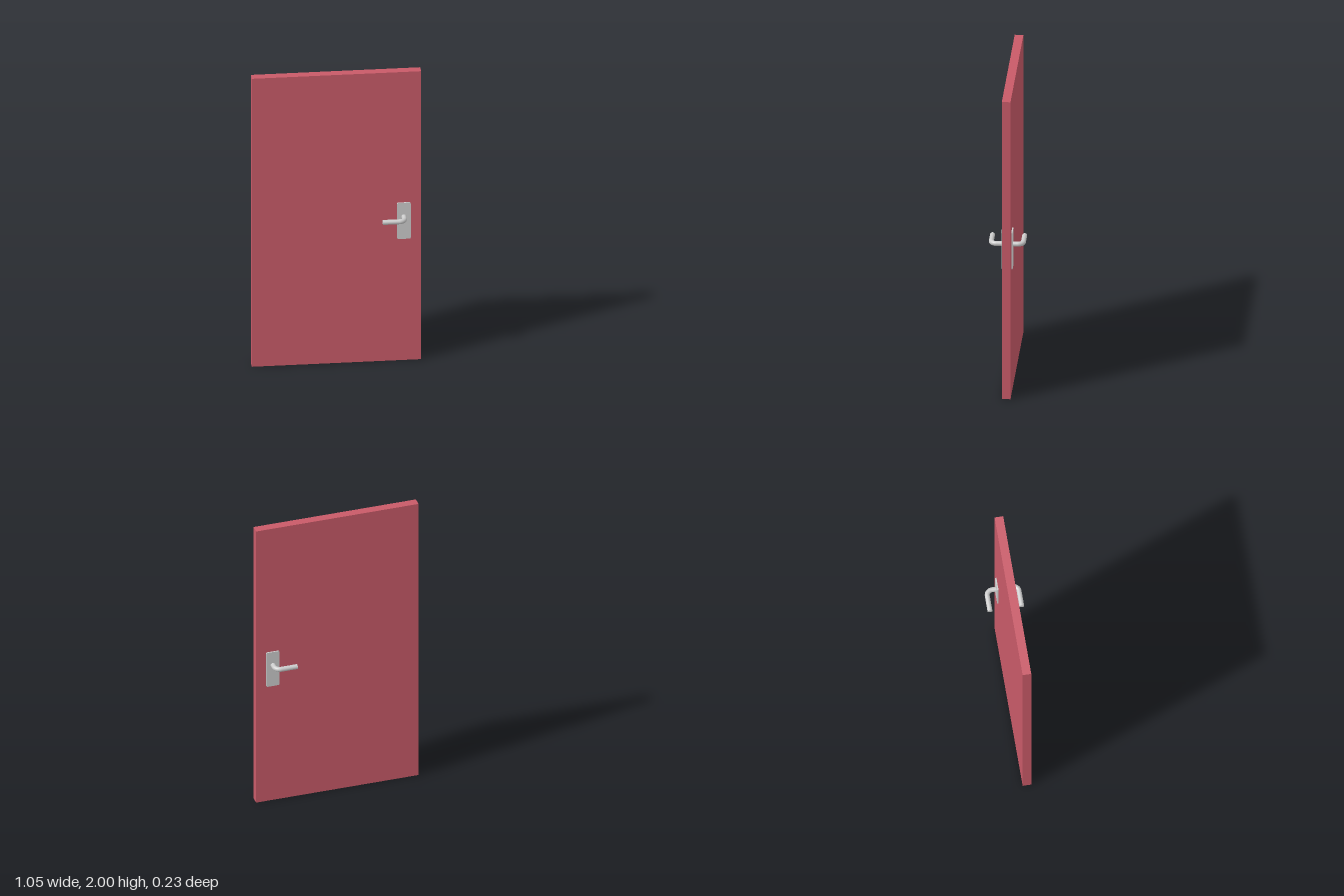
import * as THREE from 'three';

const DOOR_Z = -0.003; // centre of the leaf's thickness
const DOOR_T = 0.054;
const ROD_R = 0.0155;

function roundedRect(w, h, r) {
  const s = new THREE.Shape(), x = w / 2, y = h / 2;
  s.moveTo(-x + r, -y);
  s.lineTo(x - r, -y);
  s.absarc(x - r, -y + r, r, -Math.PI / 2, 0);
  s.lineTo(x, y - r);
  s.absarc(x - r, y - r, r, 0, Math.PI / 2);
  s.lineTo(-x + r, y);
  s.absarc(-x + r, y - r, r, Math.PI / 2, Math.PI);
  s.lineTo(-x, -y + r);
  s.absarc(-x + r, -y + r, r, Math.PI, Math.PI * 1.5);
  return s;
}

// Path of the lever: out of the plate, round the bend, along towards -x
function leverPath(side) {
  const x = 0.419, z = 0.0995, bend = 0.035, tip = 0.281;
  const p = (px, pz) => new THREE.Vector3(px, 1, side * pz);
  const path = new THREE.CurvePath();
  path.add(new THREE.LineCurve3(p(x, 0.02), p(x, z - bend)));
  const k = bend * 0.448; // handle offset for a quarter circle
  path.add(new THREE.CubicBezierCurve3(p(x, z - bend), p(x, z - k), p(x - k, z), p(x - bend, z)));
  path.add(new THREE.LineCurve3(p(x - bend, z), p(tip, z)));
  return path;
}

export function createModel() {
  const model = new THREE.Group();
  model.name = 'door';
  const paint = new THREE.MeshStandardMaterial({ color: 0xc85a68 });
  const metal = new THREE.MeshStandardMaterial({ color: 0xcccccc });
  const add = (parent, name, geometry, material) => {
    const mesh = new THREE.Mesh(geometry, material);
    mesh.name = name;
    parent.add(mesh);
    return mesh;
  };

  // Door leaf
  add(model, 'doorLeaf', new THREE.BoxGeometry(1.052, 2, DOOR_T), paint)
    .position.set(0, 1, DOOR_Z);

  // A back plate and a bent lever on each face
  for (const side of [1, -1]) {
    const handle = new THREE.Group();
    handle.name = side > 0 ? 'frontHandle' : 'backHandle';
    model.add(handle);

    const depth = 0.012;
    const plate = new THREE.ExtrudeGeometry(roundedRect(0.084, 0.25, 0.008),
      { depth, bevelEnabled: false, curveSegments: 6 });
    plate.translate(0, 0, -depth / 2);
    add(handle, 'backPlate', plate, metal)
      .position.set(0.419, 0.97, DOOR_Z + side * (DOOR_T / 2 + 0.002));

    const path = leverPath(side);
    add(handle, 'lever', new THREE.TubeGeometry(path, 60, ROD_R, 24), metal);

    // Flat end of the lever
    const cap = add(handle, 'leverEnd', new THREE.CircleGeometry(ROD_R, 24), metal);
    cap.position.copy(path.getPoint(1));
    cap.rotation.y = -Math.PI / 2;
  }
  return model;
}
